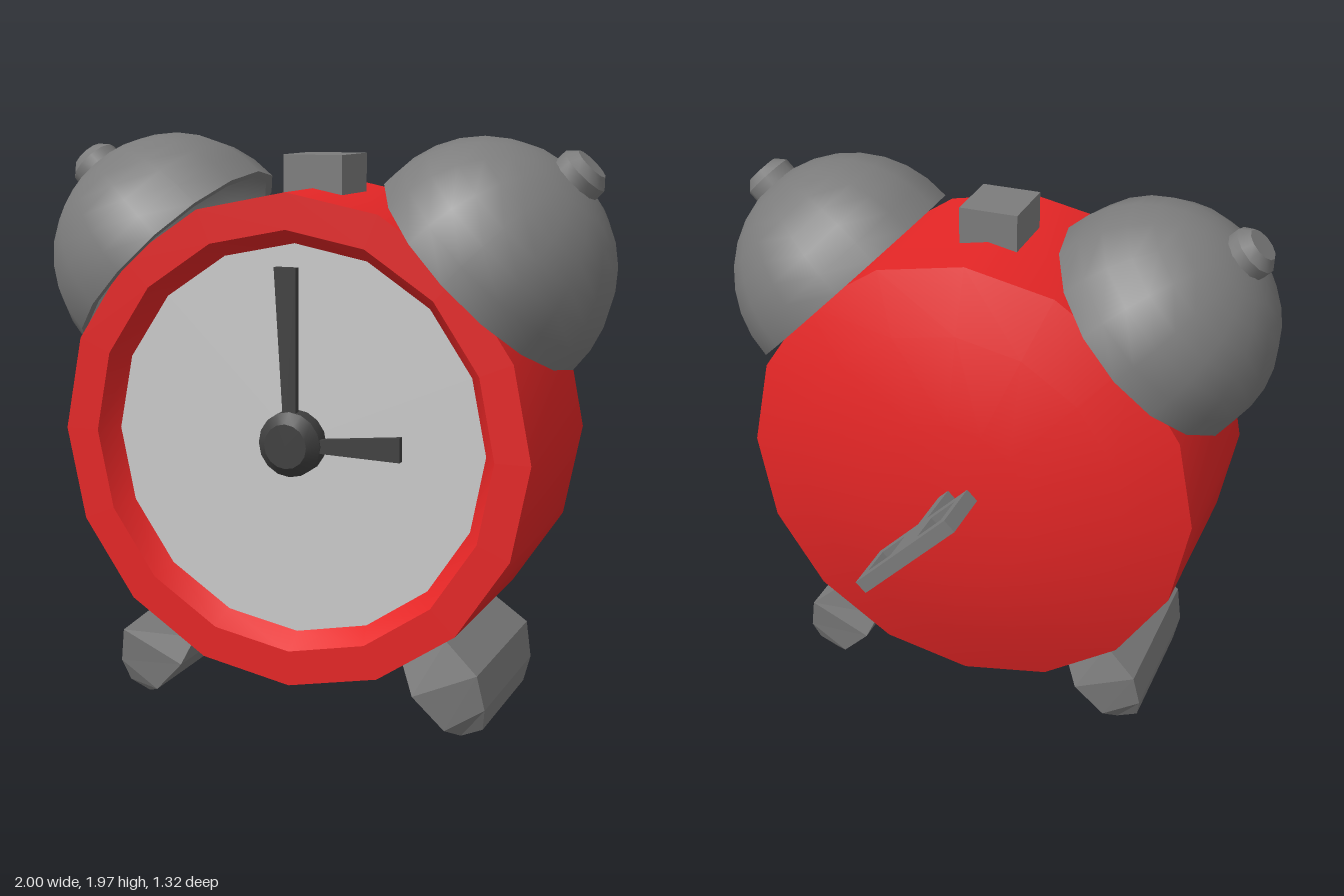
import * as THREE from 'three';
import { toCreasedNormals } from 'three/addons/utils/BufferGeometryUtils.js';

const RED = 0xe62626, GREY = 0x7c7c7c, DARK = 0x404040, PALE = 0xcccccc;
const CY = 0.965;  // height of the dial centre
const MID = 0.215; // depth of bells, button and feet

const paint = (color, flatShading = false) => new THREE.MeshStandardMaterial({ color, flatShading });

function part(name, geometry, material) {
  const mesh = new THREE.Mesh(geometry, material);
  mesh.name = name;
  return mesh;
}

// Sixteen-sided turned form with sharp rims
function turned(points, sides = 16) {
  const profile = points.map(([r, y]) => new THREE.Vector2(r, y));
  return toCreasedNormals(new THREE.LatheGeometry(profile, sides), 0.6);
}

const polygon = (points) => new THREE.Shape(points.map(([x, y]) => new THREE.Vector2(x, y)));

// Quarter arc from the equator to the pole
function quarterArc(radius, steps = 8) {
  return Array.from({ length: steps + 1 }, (_, i) => {
    const a = (i / steps) * Math.PI / 2;
    return [i === steps ? 0 : radius * Math.cos(a), radius * Math.sin(a)];
  });
}

// Foot lofted through rectangular sections: outer x,y, inner x,y, half depth
function footGeometry() {
  const sections = [
    [0.44, 0.44, 0.32, 0.35, 0.24],
    [0.535, 0.337, 0.385, 0.235, 0.275],
    [0.652, 0.24, 0.428, 0.139, 0.305],
    [0.674, 0.118, 0.535, 0.027, 0.285],
    [0.658, 0.037, 0.583, 0.005, 0.25],
  ];
  const positions = [], index = [];
  for (const [ox, oy, ix, iy, h] of sections) {
    positions.push(ox, oy, h, ox, oy, -h, ix, iy, -h, ix, iy, h);
  }
  for (let s = 0; s < sections.length - 1; s++) {
    for (let k = 0; k < 4; k++) {
      const a = s * 4 + k, b = s * 4 + (k + 1) % 4;
      index.push(a, a + 4, b, b, a + 4, b + 4);
    }
  }
  const e = (sections.length - 1) * 4;
  index.push(0, 1, 2, 0, 2, 3, e, e + 2, e + 1, e, e + 3, e + 2);
  const geometry = new THREE.BufferGeometry();
  geometry.setAttribute('position', new THREE.Float32BufferAttribute(positions, 3));
  geometry.setIndex(index);
  geometry.computeVertexNormals();
  return geometry;
}

function createBell(side) {
  const bell = new THREE.Group();
  bell.name = side > 0 ? 'leftBell' : 'rightBell';
  const shell = turned([...quarterArc(0.41).reverse(), ...quarterArc(0.44)]);
  const knob = turned([[0.09, 0.4], [0.09, 0.47], [0.06, 0.502], [0, 0.502]], 12);
  bell.add(part('bellShell', shell, paint(GREY)), part('bellKnob', knob, paint(GREY)));
  bell.position.set(side * 0.56, 1.53, MID);
  bell.rotation.z = -side * Math.PI / 4;
  return bell;
}

// Winding key: slanted plate with two windows on a square stem
function createKey() {
  const key = new THREE.Group();
  key.name = 'windingKey';
  const plate = polygon([[-0.23, -0.1], [0.23, -0.1], [0.23, 0.1], [-0.23, 0.1]]);
  for (const s of [-1, 1]) {
    const c = s * 0.13;
    plate.holes.push(polygon([[c - 0.06, -0.06], [c - 0.06, 0.06], [c + 0.06, 0.06], [c + 0.06, -0.06]]));
  }
  const grip = new THREE.ExtrudeGeometry(plate, { depth: 0.05, bevelEnabled: false });
  grip.translate(0, 0, -0.025).rotateX(Math.PI / 2).translate(0, 0, -0.56);
  const stem = new THREE.BoxGeometry(0.05, 0.05, 0.24).translate(0, 0, -0.345);
  key.add(part('keyPlate', grip, paint(GREY)), part('keyStem', stem, paint(GREY)));
  key.position.y = 0.982;
  key.rotation.z = -Math.PI / 4;
  return key;
}

function createHand(name, points) {
  const geometry = new THREE.ExtrudeGeometry(polygon(points), { depth: 0.025, bevelEnabled: false });
  const hand = part(name, geometry, paint(DARK));
  hand.position.set(0, CY, 0.51);
  return hand;
}

export function createModel() {
  const clock = new THREE.Group();
  clock.name = 'alarmClock';

  // Case with domed back and sloping inner rim
  const body = turned([
    [0, -0.277], [0.31, -0.273], [0.61, -0.2], [0.83, -0.12],
    [0.83, 0.56], [0.71, 0.56], [0.66, 0.483],
  ]).rotateX(Math.PI / 2);
  const dial = turned([[0.665, 0.484], [0, 0.484]]).rotateX(Math.PI / 2);
  const hub = turned([[0.11, 0.48], [0.11, 0.54], [0.075, 0.575], [0, 0.575]]).rotateX(Math.PI / 2);
  for (const [name, geometry, color] of [['case', body, RED], ['dial', dial, PALE], ['handHub', hub, DARK]]) {
    const mesh = part(name, geometry, paint(color));
    mesh.position.y = CY;
    clock.add(mesh);
  }

  // Hands widen towards their tips
  clock.add(createHand('minuteHand', [[-0.02, 0], [0.02, 0], [0.025, 0.585], [-0.053, 0.585]]));
  clock.add(createHand('hourHand', [[0, -0.02], [0.385, -0.032], [0.385, 0.05], [0, 0.012]]));

  // Stop button on top
  const button = part('stopButton', new THREE.BoxGeometry(0.21, 0.2, 0.23), paint(GREY));
  button.position.set(0, 1.805, MID);
  clock.add(button);

  // Mirrored bells and feet
  for (const side of [1, -1]) {
    clock.add(createBell(side));
    const foot = part(side > 0 ? 'leftFoot' : 'rightFoot', footGeometry(), paint(GREY, true));
    foot.position.z = MID;
    foot.rotation.y = side > 0 ? 0 : Math.PI;
    clock.add(foot);
  }

  clock.add(createKey());
  return clock;
}
